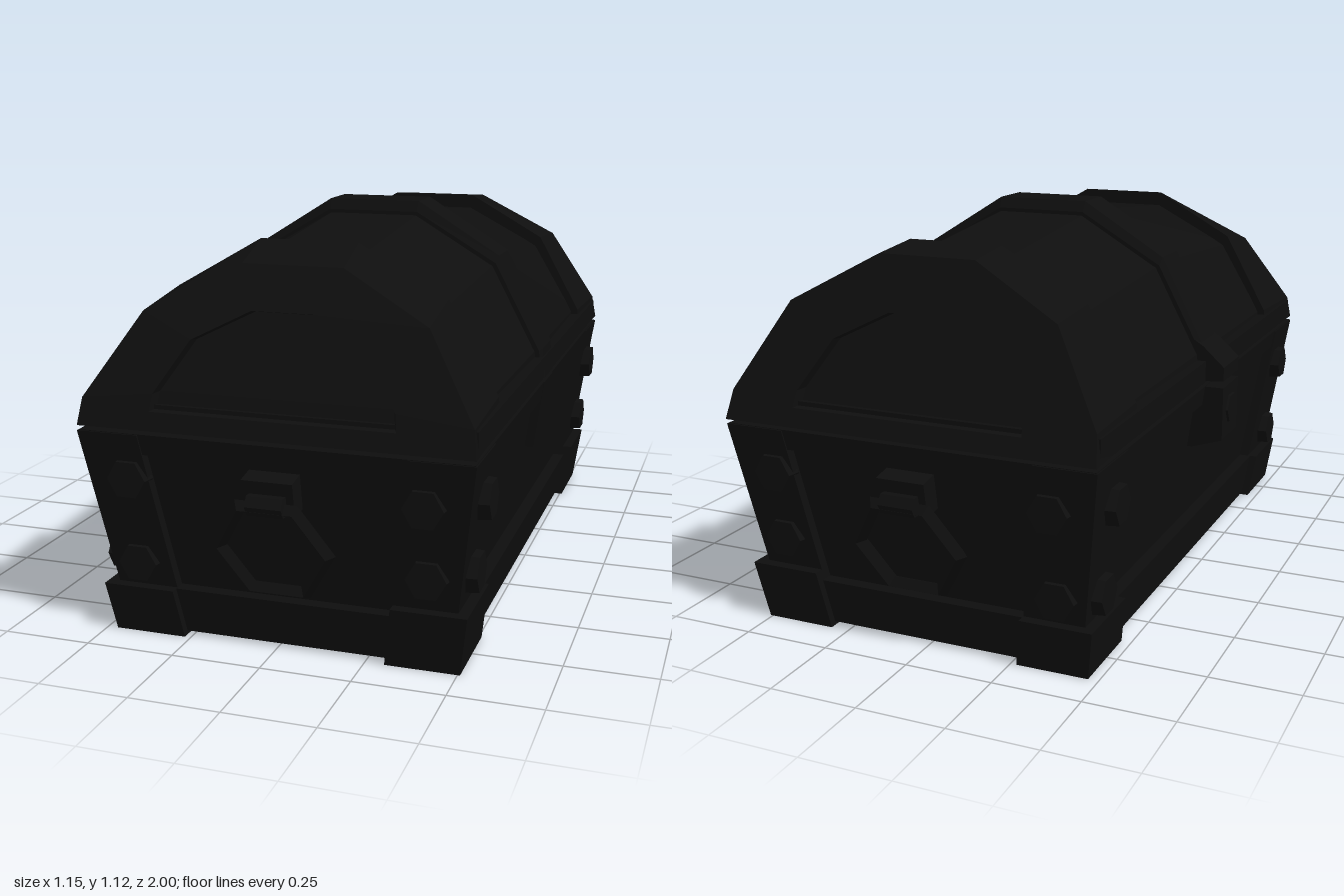
import * as THREE from 'three';

const material = new THREE.MeshStandardMaterial({ color: 0x0e0e0e, flatShading: true });

// Half width and half length of the tapered body at height y
const X = y => 0.455 + 0.14 * y;
const Z = y => 0.85 + 0.18 * y;

// Half outline of the arched lid, from the rim to the crown
const ARCH = [[0.54, 0.6], [0.53, 0.69], [0.39, 0.965], [0.14, 1.12]];

export function createModel() {
  const root = new THREE.Group();
  root.name = 'treasureChest';
  const chest = new THREE.Group();
  chest.name = 'chest';
  chest.position.x = 0.018;
  root.add(chest);

  const add = (name, geometry, parent = chest) => {
    const mesh = new THREE.Mesh(geometry, material);
    mesh.name = name;
    parent.add(mesh);
    return mesh;
  };

  // Box whose x and z ranges depend on height
  const block = (name, y0, y1, xRange, zRange) => {
    const g = new THREE.BoxGeometry(1, 1, 1).toNonIndexed();
    const p = g.attributes.position;
    for (let i = 0; i < p.count; i++) {
      const y = p.getY(i) > 0 ? y1 : y0;
      const xs = xRange(y).sort((a, b) => a - b);
      const zs = zRange(y).sort((a, b) => a - b);
      p.setXYZ(i, xs[p.getX(i) > 0 ? 1 : 0], y, zs[p.getZ(i) > 0 ? 1 : 0]);
    }
    g.computeVertexNormals();
    return add(name, g);
  };
  const band = (name, y0, y1, off) =>
    block(name, y0, y1, y => [-X(y) - off, X(y) + off], y => [-Z(y) - off, Z(y) + off]);

  // Skin over arched sections given in order of rising z
  const loft = (name, sections) => {
    const rings = sections.map(({ sx, sy, base = 0.6, z }) => {
      const half = ARCH.map(([x, y]) => [x * sx, base + (y - 0.6) * sy]);
      const left = half.map(([x, y]) => [-x, y]).reverse();
      return [...half, ...left].map(([x, y]) => [x, y, z(y)]);
    });
    const out = [], n = ARCH.length * 2;
    const quad = (a, b, c, d) => out.push(...a, ...b, ...c, ...a, ...c, ...d);
    for (let k = 0; k < rings.length - 1; k++)
      for (let i = 0; i < n; i++) {
        const j = (i + 1) % n;
        quad(rings[k][i], rings[k][j], rings[k + 1][j], rings[k + 1][i]);
      }
    const first = rings[0], last = rings[rings.length - 1];
    for (let i = 0; i < ARCH.length - 1; i++) {
      quad(last[i], last[i + 1], last[n - 2 - i], last[n - 1 - i]);
      quad(first[n - 1 - i], first[n - 2 - i], first[i + 1], first[i]);
    }
    const g = new THREE.BufferGeometry();
    g.setAttribute('position', new THREE.Float32BufferAttribute(out, 3));
    g.computeVertexNormals();
    return add(name, g);
  };

  // Outline in x and y, extruded across the middle
  const slab = (name, points, width) => {
    const shape = new THREE.Shape(points.map(p => new THREE.Vector2(...p)));
    const g = new THREE.ExtrudeGeometry(shape, { depth: width, bevelEnabled: false });
    return add(name, g.translate(0, 0, -width / 2));
  };

  // Body: recessed walls with a rim above and a rail below
  band('bodyWalls', 0.01, 0.57, -0.025);
  band('bodyRim', 0.53, 0.588, 0);
  band('baseRail', 0.01, 0.14, 0.012);
  band('lidSeam', 0.57, 0.62, -0.04);

  // Corner pillars, feet and bolts
  for (const sx of [-1, 1]) for (const sz of [-1, 1]) {
    const corner = (name, y0, y1, off, w, l) => block(name, y0, y1,
      y => [sx * (X(y) - w), sx * (X(y) + off)],
      y => [sz * (Z(y) - l), sz * (Z(y) + off)]);
    corner('cornerPillar', 0.1, 0.586, 0.004, 0.17, 0.21);
    corner('cornerFoot', 0, sx > 0 ? 0.17 : 0.14, 0.034, 0.17, 0.21);
    for (const y of [0.46, sx > 0 ? 0.26 : 0.21]) {
      const side = add('sideBolt', new THREE.CylinderGeometry(0.055, 0.06, 0.06, 6));
      side.position.set(sx * (X(y) + 0.004), y, sz * 0.81);
      side.rotation.z = -sx * Math.PI / 2;
      const end = add('endBolt',
        new THREE.CylinderGeometry(0.055, 0.06, 0.04, 6, 1, false, Math.PI / 6));
      end.position.set(sx * 0.405, y, sz * (Z(y) + 0.004));
      end.rotation.x = sz * Math.PI / 2;
    }
  }

  // Lid: planked vault that swells towards the middle
  const at = z => () => z;
  loft('lidVault', [
    { sx: 0.94, sy: 0.8, z: at(-0.74) },
    { sx: 0.96, sy: 0.925, z: at(-0.05) },
    { sx: 0.96, sy: 0.925, z: at(0.05) },
    { sx: 0.94, sy: 0.8, z: at(0.74) },
  ]);
  loft('lidMiddleBand', [
    { sx: 0.985, sy: 0.94, z: at(-0.08) },
    { sx: 1, sy: 1, z: at(-0.065) },
    { sx: 1, sy: 1, z: at(0.065) },
    { sx: 0.985, sy: 0.94, z: at(0.08) },
  ]);
  block('lidRim', 0.6, 0.665, y => [-0.537, 0.537], y => [-0.93, 0.93]);

  // Lid ends: leaning metal caps with a sunken arched panel
  const endCap = (dir, sy, lean) => {
    const sections = [
      { sx: 0.985, sy: 0.904, z: y => dir * 0.64 },
      { sx: 1, sy, z: y => dir * lean(y - 0.6) },
      { sx: 0.62, sy: 0.5, base: 0.65, z: y => dir * lean(y - 0.6) },
      { sx: 0.6, sy: 0.48, base: 0.655, z: y => dir * (lean(y - 0.6) - 0.025) },
    ];
    loft('lidEndCap', dir > 0 ? sections : sections.reverse());
  };
  endCap(1, 0.81, t => 0.96 - 0.2 * t - 0.6 * t * t);
  endCap(-1, 0.875, t => 0.965 - 0.36 * t);

  // Lock, clasp and hinge on the middle band
  slab('clasp', [[-0.593, 0.608], [-0.48, 0.6], [-0.48, 0.74], [-0.528, 0.71], [-0.593, 0.65]], 0.16);
  slab('lock', [[-0.593, 0.587], [-0.593, 0.425], [-0.5, 0.395], [-0.44, 0.395], [-0.44, 0.587]], 0.16);
  const plate = add('keyPlate', new THREE.CylinderGeometry(0.045, 0.05, 0.012, 6));
  plate.position.set(-0.593, 0.51, 0);
  plate.rotation.z = Math.PI / 2;
  block('hinge', 0.38, 0.588, y => [0.4, X(y) + 0.003], y => [-0.07, 0.07]);

  // Hexagonal ring handles, hanging from brackets on both ends
  for (const dir of [-1, 1]) {
    const handle = new THREE.Group();
    handle.name = 'handle';
    handle.rotation.y = dir > 0 ? 0 : Math.PI;
    chest.add(handle);
    const ring = add('handleRing', new THREE.TorusGeometry(0.15, 0.022, 4, 6), handle);
    ring.position.set(0, 0.305, 0.935);
    ring.rotation.x = 0.3;
    const backPlate = add('handleBracket', new THREE.BoxGeometry(0.14, 0.1, 0.06), handle);
    backPlate.position.set(0, 0.455, 0.935);
    backPlate.rotation.x = 0.18;
    const knuckle = add('handleKnuckle', new THREE.CylinderGeometry(0.03, 0.03, 0.1, 6), handle);
    knuckle.position.set(0, 0.437, 0.972);
    knuckle.rotation.z = Math.PI / 2;
  }
  return root;
}
